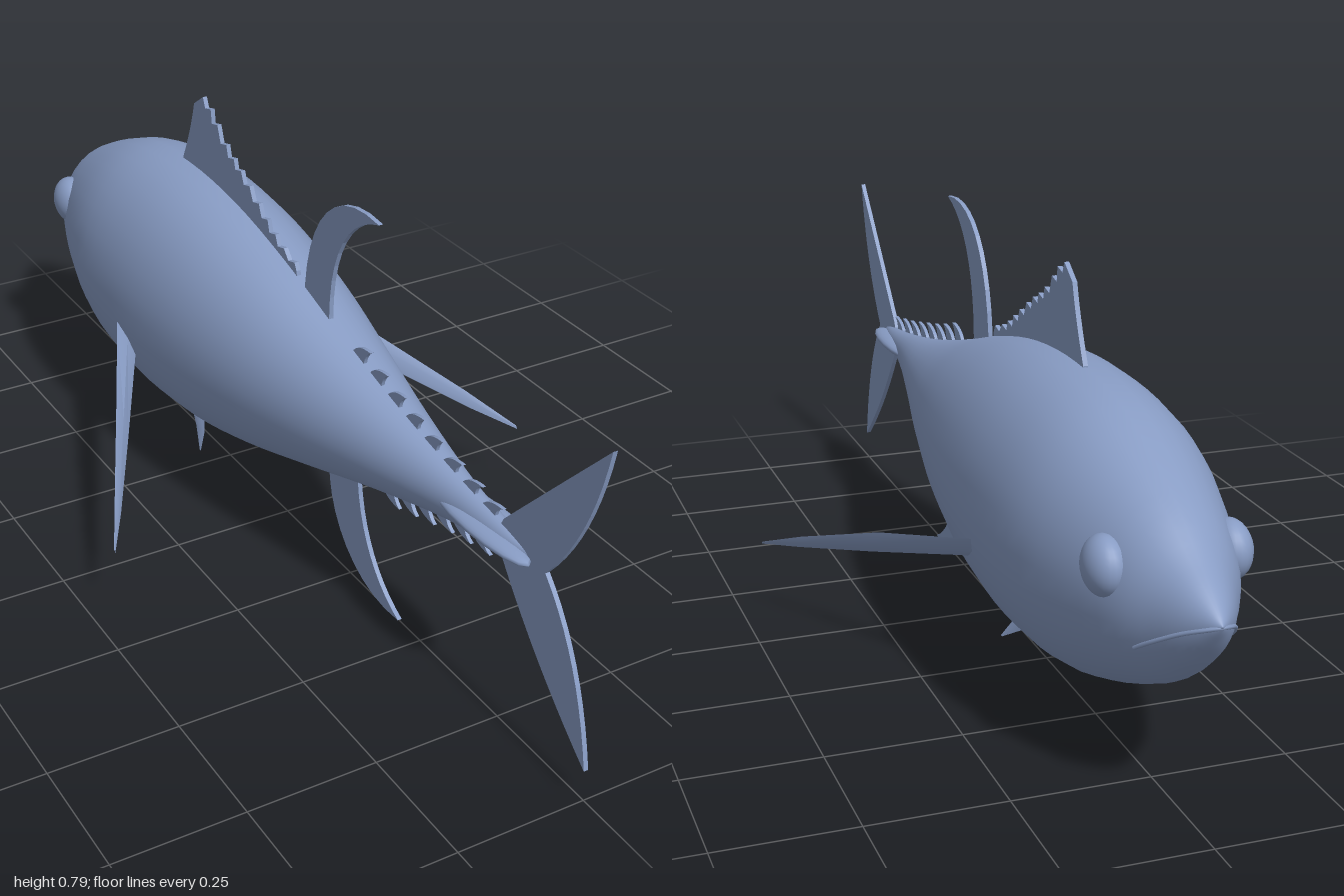
import * as THREE from 'three';
import { toCreasedNormals } from 'three/addons/utils/BufferGeometryUtils.js';

const V = (x, y, z) => new THREE.Vector3(x, y, z);

// Skin over closed rings of points
function loft(rings) {
  const n = rings[0].length, index = [];
  for (let j = 0; j < rings.length - 1; j++) {
    for (let i = 0; i < n; i++) {
      const a = j * n + i, b = j * n + (i + 1) % n;
      index.push(a, b, a + n, b, b + n, a + n);
    }
  }
  const g = new THREE.BufferGeometry().setFromPoints(rings.flat());
  g.setIndex(index);
  g.computeVertexNormals();
  return g;
}

// Thin upright fin on the centre plane, outlined in (z, y)
function uprightFin(shape, thickness = 0.009) {
  const g = new THREE.ExtrudeGeometry(shape, { depth: thickness, bevelEnabled: false, curveSegments: 10 });
  return g.rotateY(-Math.PI / 2).translate(thickness / 2, 0, 0);
}

// Fin with a diamond section, from pairs of leading and trailing edge points
function sideFin(sections, side, thickness) {
  const pairs = sections.map(s => s.map(p => V(p[0] * side, p[1], p[2])));
  const chord = pairs[0][1].clone().sub(pairs[0][0]);
  const span = pairs[pairs.length - 1][0].clone().sub(pairs[0][0]);
  const normal = chord.clone().cross(span).normalize();
  const rings = pairs.map(([a, b]) => {
    const mid = a.clone().lerp(b, 0.45);
    const t = thickness * a.distanceTo(b) / chord.length();
    return [a, mid.clone().addScaledVector(normal, t), b, mid.clone().addScaledVector(normal, -t)];
  });
  return toCreasedNormals(loft(rings), 0.6);
}

export function createModel() {
  const group = new THREE.Group();
  const skin = new THREE.MeshStandardMaterial({ color: 0x889cc4 });
  skin.name = 'blue grey skin';
  const add = (name, geometry) => {
    const mesh = new THREE.Mesh(geometry, skin);
    mesh.name = name;
    group.add(mesh);
    return mesh;
  };

  // Body stations: z, half width, bottom, top
  const stations = [
    [-1, 0, 0.38, 0.38], [-0.985, 0.018, 0.356, 0.397], [-0.95, 0.045, 0.312, 0.425],
    [-0.9, 0.074, 0.265, 0.458], [-0.8, 0.125, 0.198, 0.527], [-0.6, 0.182, 0.123, 0.608],
    [-0.4, 0.196, 0.1, 0.631], [-0.2, 0.188, 0.115, 0.618], [0, 0.163, 0.16, 0.575],
    [0.2, 0.124, 0.22, 0.515], [0.4, 0.079, 0.28, 0.462], [0.6, 0.038, 0.33, 0.422],
    [0.75, 0.02, 0.352, 0.4], [0.83, 0, 0.37, 0.384],
  ];
  const topCurve = new THREE.CatmullRomCurve3(stations.map(s => V(s[1], s[3], s[0])), false, 'catmullrom');
  const lowCurve = new THREE.CatmullRomCurve3(stations.map(s => V(s[1], s[2], s[0])), false, 'catmullrom');
  const rings = [];
  for (let j = 0; j <= 52; j++) {
    const top = topCurve.getPoint(j / 52), low = lowCurve.getPoint(j / 52);
    const mid = (top.y + low.y) / 2, ry = (top.y - low.y) / 2, rx = Math.max(0, top.x);
    const ring = [];
    for (let i = 0; i < 32; i++) {
      const a = i / 32 * Math.PI * 2;
      ring.push(V(rx * Math.cos(a), mid + ry * Math.sin(a), top.z));
    }
    rings.push(ring);
  }
  add('body', loft(rings));

  // Height of the back or belly at a given z
  const edgeAt = (z, k) => {
    const i = Math.max(1, stations.findIndex(s => s[0] >= z));
    const a = stations[i - 1], b = stations[i];
    return THREE.MathUtils.mapLinear(z, a[0], b[0], a[k], b[k]);
  };

  // Mouth line wrapping around the snout
  const lip = [[0.084, 0.3, -0.86], [0.07, 0.325, -0.9], [0.044, 0.355, -0.95], [0.018, 0.372, -0.985]];
  const mouth = new THREE.CatmullRomCurve3([
    ...lip.map(p => V(...p)), V(0, 0.377, -0.995), ...lip.map(p => V(-p[0], p[1], p[2])).reverse(),
  ]);
  add('mouth', new THREE.TubeGeometry(mouth, 40, 0.004, 6));

  for (const side of [1, -1]) {
    const label = side > 0 ? 'left' : 'right';
    const eye = add(label + 'Eye', new THREE.SphereGeometry(0.052, 24, 16).scale(0.72, 1, 1));
    eye.position.set(side * 0.108, 0.415, -0.79);

    // Long swept pectoral fin
    add(label + 'PectoralFin', sideFin([
      [[0.165, 0.325, -0.43], [0.165, 0.27, -0.35]],
      [[0.195, 0.318, -0.375], [0.19, 0.26, -0.305]],
      [[0.3, 0.265, -0.16], [0.3, 0.208, -0.11]],
      [[0.4, 0.196, 0.04], [0.4, 0.165, 0.065]],
      [[0.455, 0.152, 0.15], [0.455, 0.146, 0.155]],
    ], side, 0.008));

    // Small pelvic fin
    add(label + 'PelvicFin', sideFin([
      [[0.043, 0.125, -0.36], [0.05, 0.125, -0.27]],
      [[0.065, 0.082, -0.28], [0.066, 0.085, -0.24]],
      [[0.083, 0.052, -0.23], [0.083, 0.053, -0.225]],
    ], side, 0.005));

    // Keel beside the tail root
    const keel = add(label + 'Keel', new THREE.SphereGeometry(1, 16, 12).scale(0.031, 0.014, 0.14));
    keel.position.set(side * 0.015, 0.377, 0.69);
  }

  // First dorsal fin with a saw-toothed rear edge
  const spiny = new THREE.Shape();
  spiny.moveTo(-0.43, 0.6);
  spiny.lineTo(-0.43, 0.632);
  spiny.quadraticCurveTo(-0.39, 0.71, -0.375, 0.768);
  spiny.lineTo(-0.335, 0.795);
  const rear = new THREE.SplineCurve([[-0.318, 0.782], [-0.247, 0.725], [-0.18, 0.69], [-0.1, 0.643], [-0.03, 0.604], [0.05, 0.58]]
    .map(p => new THREE.Vector2(...p)));
  for (let i = 0; i <= 11; i++) {
    const p = rear.getPoint(i / 11);
    spiny.lineTo(p.x - 0.008, p.y - 0.008);
    if (i < 11) spiny.lineTo(p.x + 0.016, p.y - 0.002);
  }
  spiny.lineTo(0.05, 0.53);
  add('firstDorsalFin', uprightFin(spiny));

  // Sickle-shaped second dorsal fin
  const sickle = new THREE.Shape();
  sickle.moveTo(0.07, 0.52);
  sickle.lineTo(0.075, 0.56);
  sickle.bezierCurveTo(0.09, 0.71, 0.18, 0.81, 0.33, 0.785);
  sickle.bezierCurveTo(0.23, 0.76, 0.165, 0.67, 0.165, 0.53);
  sickle.lineTo(0.165, 0.49);
  add('secondDorsalFin', uprightFin(sickle));

  // Anal fin, swept down and back
  const anal = new THREE.Shape();
  anal.moveTo(0.17, 0.26);
  anal.lineTo(0.172, 0.22);
  anal.bezierCurveTo(0.17, 0.1, 0.27, -0.015, 0.43, 0.006);
  anal.bezierCurveTo(0.35, 0.04, 0.29, 0.12, 0.277, 0.235);
  anal.lineTo(0.277, 0.28);
  add('analFin', uprightFin(anal));

  // Crescent tail fin
  const tail = new THREE.Shape();
  tail.moveTo(0.72, 0.378);
  tail.lineTo(0.74, 0.415);
  tail.quadraticCurveTo(0.85, 0.53, 1, 0.685);
  tail.quadraticCurveTo(0.965, 0.5, 0.86, 0.378);
  tail.quadraticCurveTo(0.965, 0.27, 1, 0.067);
  tail.quadraticCurveTo(0.85, 0.19, 0.74, 0.34);
  add('tailFin', uprightFin(tail));

  // Rows of finlets along the back and belly
  const finlets = (name, count, start, end, k, dir) => {
    for (let i = 0; i < count; i++) {
      const z = THREE.MathUtils.lerp(start, end, i / (count - 1));
      const base = edgeAt(z, k), size = 1 - 0.3 * i / count;
      const s = new THREE.Shape();
      s.moveTo(z - 0.065, edgeAt(z - 0.065, k) - dir * 0.012);
      s.quadraticCurveTo(z - 0.05, base + dir * 0.036 * size, z, base + dir * 0.036 * size);
      s.quadraticCurveTo(z - 0.025, base + dir * 0.02, z - 0.022, base - dir * 0.012);
      add(name + (i + 1), uprightFin(s, 0.007));
    }
  };
  finlets('upperFinlet', 8, 0.31, 0.735, 3, 1);
  finlets('lowerFinlet', 6, 0.42, 0.705, 2, -1);

  return group;
}
